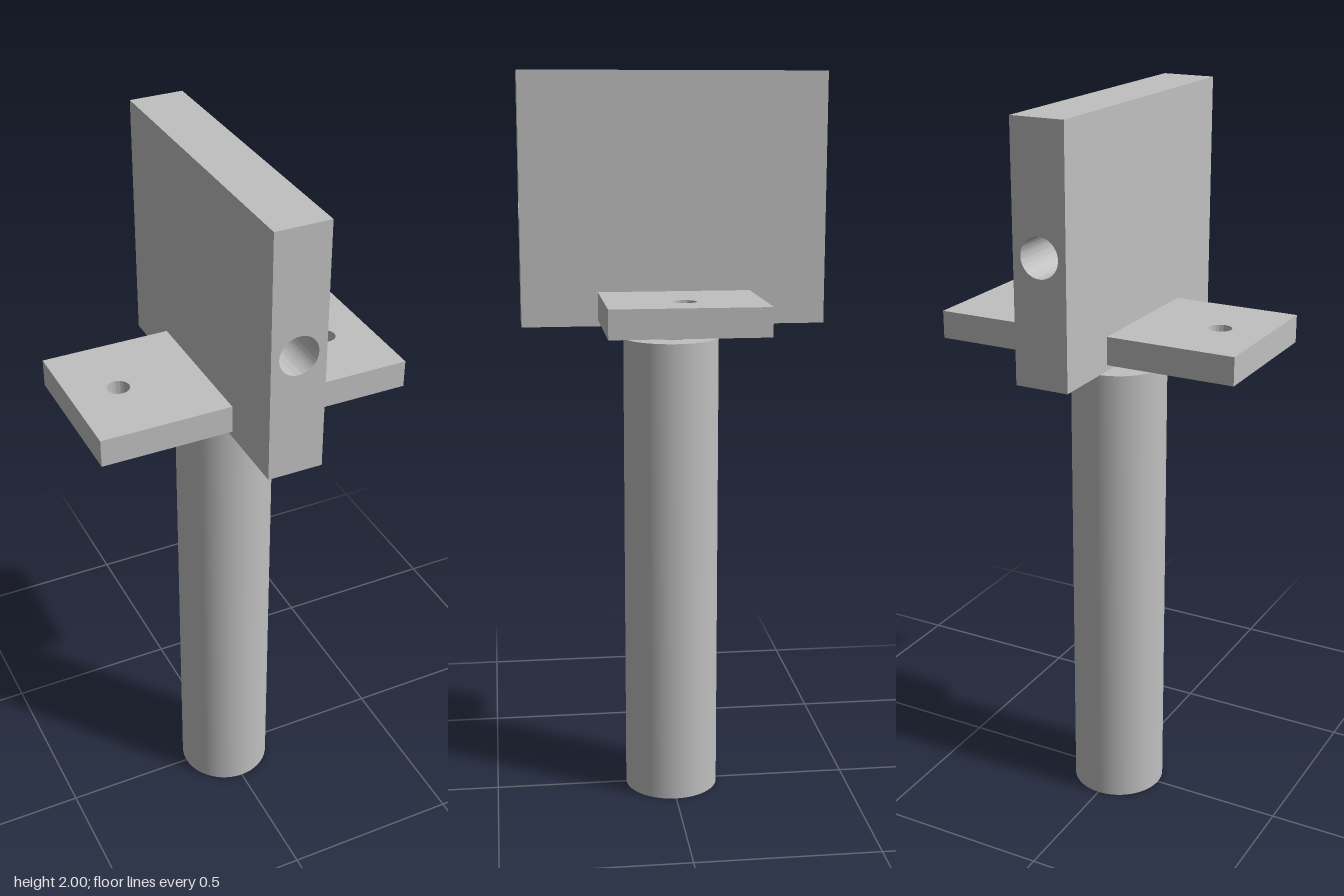
import * as THREE from 'three';
import { toCreasedNormals } from 'three/addons/utils/BufferGeometryUtils.js';

const HALF_THICK = 0.073; // half thickness of the upright block

// Extrude an outline with one round hole, centred along its depth
function drilled(outline, holeX, holeY, holeR, depth) {
  const hole = new THREE.Path();
  hole.absarc(holeX, holeY, holeR, 0, Math.PI * 2, true);
  outline.holes.push(hole);
  const geo = new THREE.ExtrudeGeometry(outline, { depth, bevelEnabled: false, curveSegments: 32 });
  geo.translate(0, 0, -depth / 2);
  return toCreasedNormals(geo, Math.PI / 6);
}

function rectangle(x0, y0, x1, y1) {
  return new THREE.Shape([[x0, y0], [x1, y0], [x1, y1], [x0, y1]].map(([x, y]) => new THREE.Vector2(x, y)));
}

export function createModel() {
  const group = new THREE.Group();
  const grey = new THREE.MeshStandardMaterial({ color: 0xc0c0c0 });
  grey.name = 'grey metal';

  function add(name, geo) {
    const mesh = new THREE.Mesh(geo, grey);
    mesh.name = name;
    group.add(mesh);
    return mesh;
  }

  // Upright block with a bore from front to back
  add('uprightBlock', drilled(rectangle(-HALF_THICK, 1.34, HALF_THICK, 2), 0, 1.67, 0.052, 0.81));

  // Side tabs, each with a screw hole
  for (const [name, side] of [['leftTab', 1], ['rightTab', -1]]) {
    const inner = Math.min(side * HALF_THICK, side * 0.424);
    const outer = Math.max(side * HALF_THICK, side * 0.424);
    const geo = drilled(rectangle(inner, -0.203, outer, 0.203), side * 0.295, 0, 0.03, 0.075);
    geo.rotateX(-Math.PI / 2);
    add(name, geo).position.y = 1.393;
  }

  // Hollow post
  const ring = new THREE.Shape();
  ring.absarc(0, 0, 0.13, 0, Math.PI * 2, false);
  const post = drilled(ring, 0, 0, 0.053, 1.297);
  post.rotateX(-Math.PI / 2);
  add('post', post).position.y = 1.297 / 2;

  return group;
}
